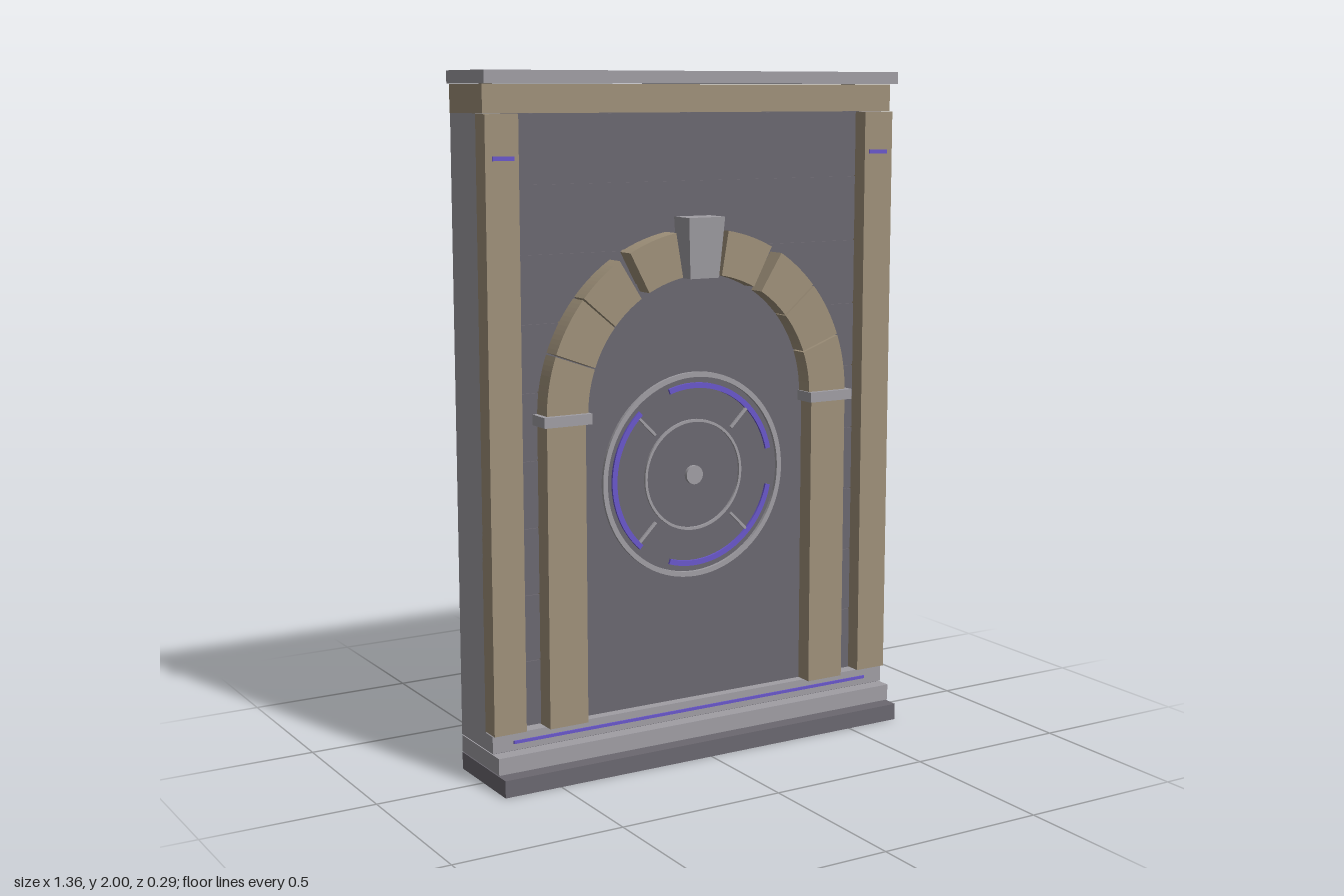
import * as THREE from 'three';

const mat = (name, color) => {
  const m = new THREE.MeshStandardMaterial({ color });
  m.name = name;
  return m;
};

export function createModel() {
  const model = new THREE.Group();
  model.name = 'archedWallPanel';
  const stone = mat('light grey stone', 0xa09ea4);
  const dark = mat('dark slate', 0x6b6870);
  const tan = mat('tan sandstone', 0x9f917a);
  const glow = mat('violet inlay', 0x6a58cc);

  const add = (name, geometry, material, parent = model) => {
    const mesh = new THREE.Mesh(geometry, material);
    mesh.name = name;
    parent.add(mesh);
    return mesh;
  };
  // Box given by its limits on each axis
  const box = (name, material, x0, x1, y0, y1, z0, z1) => {
    const g = new THREE.BoxGeometry(x1 - x0, y1 - y0, z1 - z0);
    g.translate((x0 + x1) / 2, (y0 + y1) / 2, (z0 + z1) / 2);
    return add(name, g, material);
  };
  const extrude = (shape, depth, curveSegments = 16) =>
    new THREE.ExtrudeGeometry(shape, { depth, bevelEnabled: false, curveSegments });
  // Flat ring sector between two angles in degrees
  const sector = (r0, r1, a0, a1) => {
    const s = new THREE.Shape();
    const rad = THREE.MathUtils.degToRad;
    s.absarc(0, 0, r1, rad(a0), rad(a1), false);
    s.absarc(0, 0, r0, rad(a1), rad(a0), true);
    s.closePath();
    return s;
  };
  const ring = (r0, r1) => {
    const s = new THREE.Shape().absarc(0, 0, r1, 0, Math.PI * 2, false);
    s.holes.push(new THREE.Path().absarc(0, 0, r0, 0, Math.PI * 2, true));
    return s;
  };

  // Stepped base
  box('plinth', dark, -0.675, 0.675, 0, 0.05, -0.14, 0.145);
  box('lowerStep', stone, -0.675, 0.675, 0.053, 0.102, -0.14, 0.105);
  box('upperStep', stone, -0.675, 0.675, 0.105, 0.155, -0.14, 0.066);
  box('stepJoints', dark, -0.67, 0.67, 0.04, 0.12, -0.135, 0.06);
  box('baseInlay', glow, -0.61, 0.61, 0.124, 0.133, 0.064, 0.07);

  // Wall core, faced with shallow courses
  box('wallCore', stone, -0.675, 0.675, 0.155, 1.885, -0.14, 0.022);
  box('wallBacking', dark, -0.6, 0.6, 0.155, 1.885, 0.015, 0.026);
  const courses = 9, h = 1.73 / courses;
  for (let i = 0; i < courses; i++) {
    const y = 0.155 + i * h;
    box('wallCourse', dark, -0.58, 0.58, y + 0.002, y + h - 0.002, 0.02, 0.031);
  }

  // Frieze and cap
  box('frieze', tan, -0.675, 0.675, 1.885, 1.963, -0.143, 0.066);
  box('cap', stone, -0.682, 0.682, 1.965, 2, -0.145, 0.095);

  // Smooth arched panel inside the doorway
  const door = new THREE.Shape();
  door.moveTo(-0.4, 0.155);
  door.lineTo(0.4, 0.155);
  door.lineTo(0.4, 1.05);
  door.absarc(0, 1.05, 0.4, 0, Math.PI, false);
  door.closePath();
  add('archPanel', extrude(door, 0.016, 32), dark).position.z = 0.02;

  // Pilasters, jambs, imposts and arch stones on both sides
  const spans = [[0.3, 19.7], [20.3, 39.7], [40.3, 57.5], [62, 80]];
  for (const s of [-1, 1]) {
    const side = (name, m, a, b, ...rest) =>
      box(name, m, Math.min(s * a, s * b), Math.max(s * a, s * b), ...rest);
    side('pilaster', tan, 0.575, 0.675, 0.158, 1.883, 0.02, 0.08);
    side('pilasterInlay', glow, 0.59, 0.655, 1.759, 1.771, 0.078, 0.084);
    side('jamb', tan, 0.383, 0.505, 0.155, 1.025, 0.02, 0.09);
    side('impost', stone, 0.37, 0.52, 1.025, 1.055, 0.02, 0.106);
    for (const [a, b] of spans) {
      const shape = s > 0 ? sector(0.375, 0.505, a, b) : sector(0.375, 0.505, 180 - b, 180 - a);
      add('archStone', extrude(shape, 0.07, 6), tan).position.set(0, 1.05, 0.02);
    }
  }

  // Keystone, narrower and shallower at its foot
  const key = new THREE.BoxGeometry(0.12, 0.175, 0.095);
  key.translate(0, 1.5025, 0.0675);
  const p = key.attributes.position;
  for (let i = 0; i < p.count; i++) {
    if (p.getY(i) > 1.5) continue;
    p.setX(i, p.getX(i) * 0.8);
    if (p.getZ(i) > 0.05) p.setZ(i, 0.102);
  }
  key.computeVertexNormals();
  add('keystone', key, stone);

  // Round emblem
  const emblem = new THREE.Group();
  emblem.name = 'emblem';
  emblem.position.set(0, 0.833, 0.034);
  model.add(emblem);
  add('outerRing', extrude(ring(0.29, 0.305), 0.012, 48), stone, emblem);
  add('innerRing', extrude(ring(0.157, 0.165), 0.009, 40), stone, emblem);
  const hub = add('hub', new THREE.CylinderGeometry(0.028, 0.028, 0.014, 20), stone, emblem);
  hub.rotation.x = Math.PI / 2;
  hub.position.z = 0.007;
  for (const a of [60, 180, 300]) {
    add('glowArc', extrude(sector(0.257, 0.273, a - 48, a + 48), 0.009, 24), glow, emblem);
  }
  for (let i = 0; i < 4; i++) {
    const a = Math.PI / 4 + (i * Math.PI) / 2;
    const spoke = add('spoke', new THREE.BoxGeometry(0.075, 0.008, 0.009), stone, emblem);
    spoke.position.set(Math.cos(a) * 0.22, Math.sin(a) * 0.22, 0.0045);
    spoke.rotation.z = a;
  }
  return model;
}
